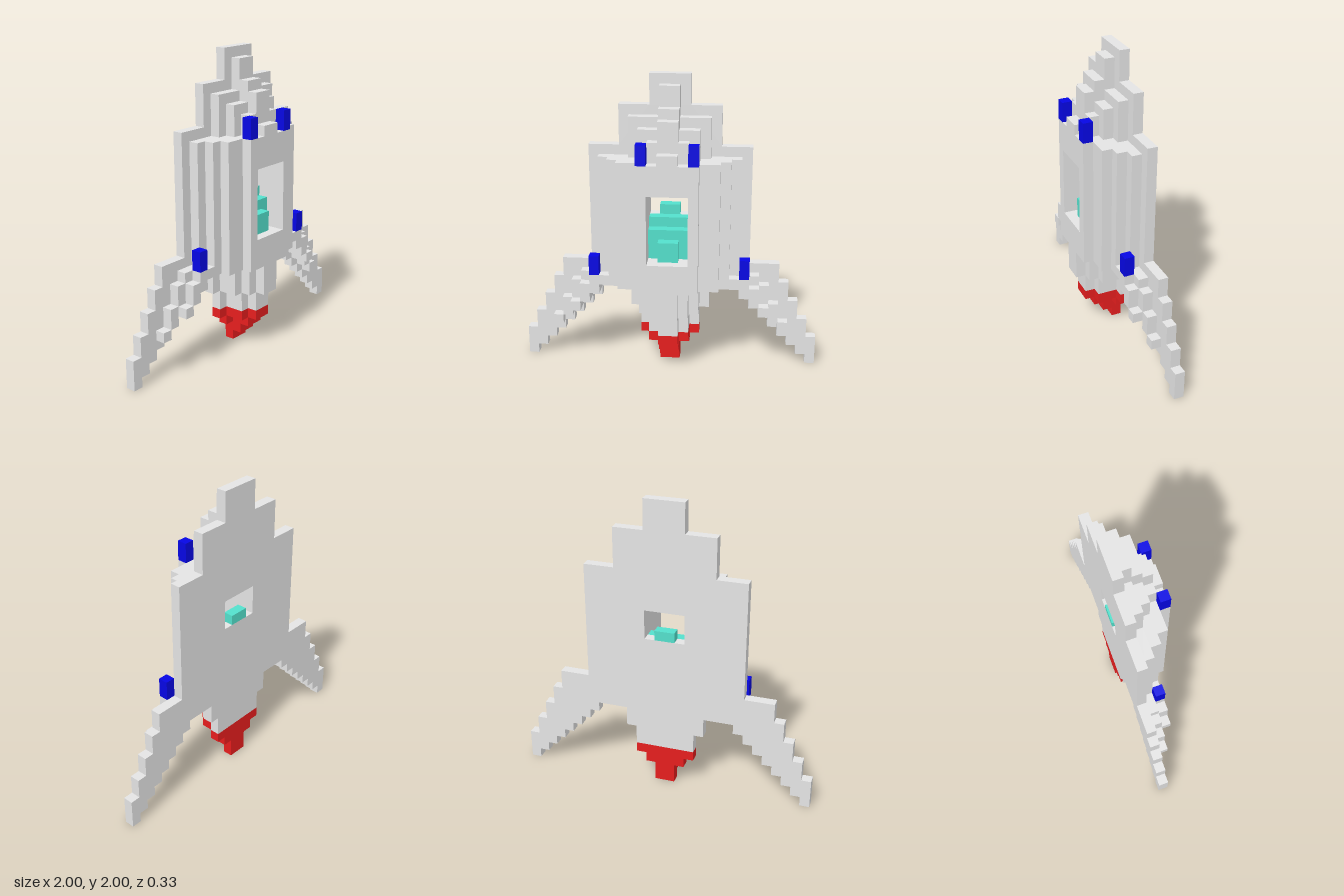
import * as THREE from 'three';

const U = 1 / 15; // size of one block

const mat = (name, color) => Object.assign(new THREE.MeshStandardMaterial({ color }), { name });

export function createModel() {
  const hull = mat('hull grey', 0xe4e4e4);
  const flame = mat('flame red', 0xe61e1e);
  const light = mat('light blue', 0x0606e4);
  const pilot = mat('cockpit teal', 0x54e0cc);
  const model = new THREE.Group();
  model.name = 'blockSpaceship';

  // Mirrored slab one block deep, from the right half of its outline
  function slab(name, half, layer, material, hole) {
    const left = half.map(([x, y]) => [-x, y]).reverse();
    const pts = [...half, ...left]
      .filter(([x, y], i, a) => { const p = a[(i + a.length - 1) % a.length]; return x !== p[0] || y !== p[1]; })
      .map(([x, y]) => new THREE.Vector2(x * U, y * U));
    const shape = new THREE.Shape(pts);
    if (hole) {
      const [w, y0, y1] = hole;
      shape.holes.push(new THREE.Path([[-w, y0], [w, y0], [w, y1], [-w, y1]]
        .map(([x, y]) => new THREE.Vector2(x * U, y * U))));
    }
    const geo = new THREE.ExtrudeGeometry(shape, { depth: U, bevelEnabled: false });
    const mesh = new THREE.Mesh(geo, material);
    mesh.name = name;
    mesh.position.z = (layer - 2.5) * U;
    model.add(mesh);
  }

  // Steps going outward and down: [half width, top]
  const descend = (steps) => steps.flatMap(([x, y], i) => [[i ? steps[i - 1][0] : 0, y], [x, y]]);
  // Steps going inward and down: [half width, bottom]
  const taper = (steps) => steps.flatMap(([x, y], i) => [[x, y], [i + 1 < steps.length ? steps[i + 1][0] : 0, y]]);

  // Layers from back to front: stepped top, belly height, wing underside, tail and exhaust
  const layers = [
    { top: [[2, 30], [5, 27], [8, 23], [11, 11], [12, 9], [13, 7], [14, 5], [15, 3]],
      belly: 8, under: 14, tail: [[4, 6], [3, 4]], fire: [[3, 3], [2, 2], [1, 0]], sill: 16 },
    { top: [[1, 29], [4, 26], [7, 22], [9, 10], [10, 9], [11, 7], [12, 5]],
      belly: 9, under: 15, tail: [[3, 6], [2, 4]], fire: [[2, 3], [1, 1]], sill: 12 },
    { top: [[1, 27], [3, 25], [6, 22], [8, 10], [9, 9], [10, 7]],
      belly: 9, under: 15, tail: [[3, 6], [2, 4]], fire: [[2, 3], [1, 2]], sill: 12 },
    { top: [[1, 26], [2, 24], [5, 22]],
      belly: 9, under: 15, tail: [[2, 6], [1, 4]], fire: [[1, 3]], sill: 12 },
    { top: [[1, 23], [3, 22]], belly: 9, under: 15, tail: [[1, 6]], sill: 12 },
  ];

  layers.forEach(({ top, belly, under, tail, fire, sill }, i) => {
    const half = descend(top);
    // Staircase under the wing, one block per column
    for (let c = top[top.length - 1][0] - 1; c >= tail[0][0]; c--) {
      const y = Math.min(belly, under - c);
      half.push([c + 1, y], [c, y]);
    }
    slab('hullLayer' + i, [...half, ...taper(tail)], i, hull, [2, sill, 19]);
    if (fire) slab('exhaustLayer' + i, [[fire[0][0], 4], ...taper(fire)], i, flame);
  });

  // Stepped occupant in the cockpit opening: half width, bottom, top
  [[1, 16, 17], [2, 12, 16], [2, 12, 15], [1, 12, 14]].forEach(([w, y0, y1], i) =>
    slab('cockpitStep' + i, [[w, y1], [w, y0]], i, pilot));

  // Blue lamps on the shoulders and wing roots
  for (const side of [-1, 1]) {
    for (const [name, x, y, z] of [['shoulderLamp', 2.5, 23, 2], ['wingLamp', 7.5, 11, 0]]) {
      const lamp = new THREE.Mesh(new THREE.BoxGeometry(U, 2 * U, U), light);
      lamp.name = name;
      lamp.position.set(side * x * U, y * U, z * U);
      model.add(lamp);
    }
  }
  return model;
}
